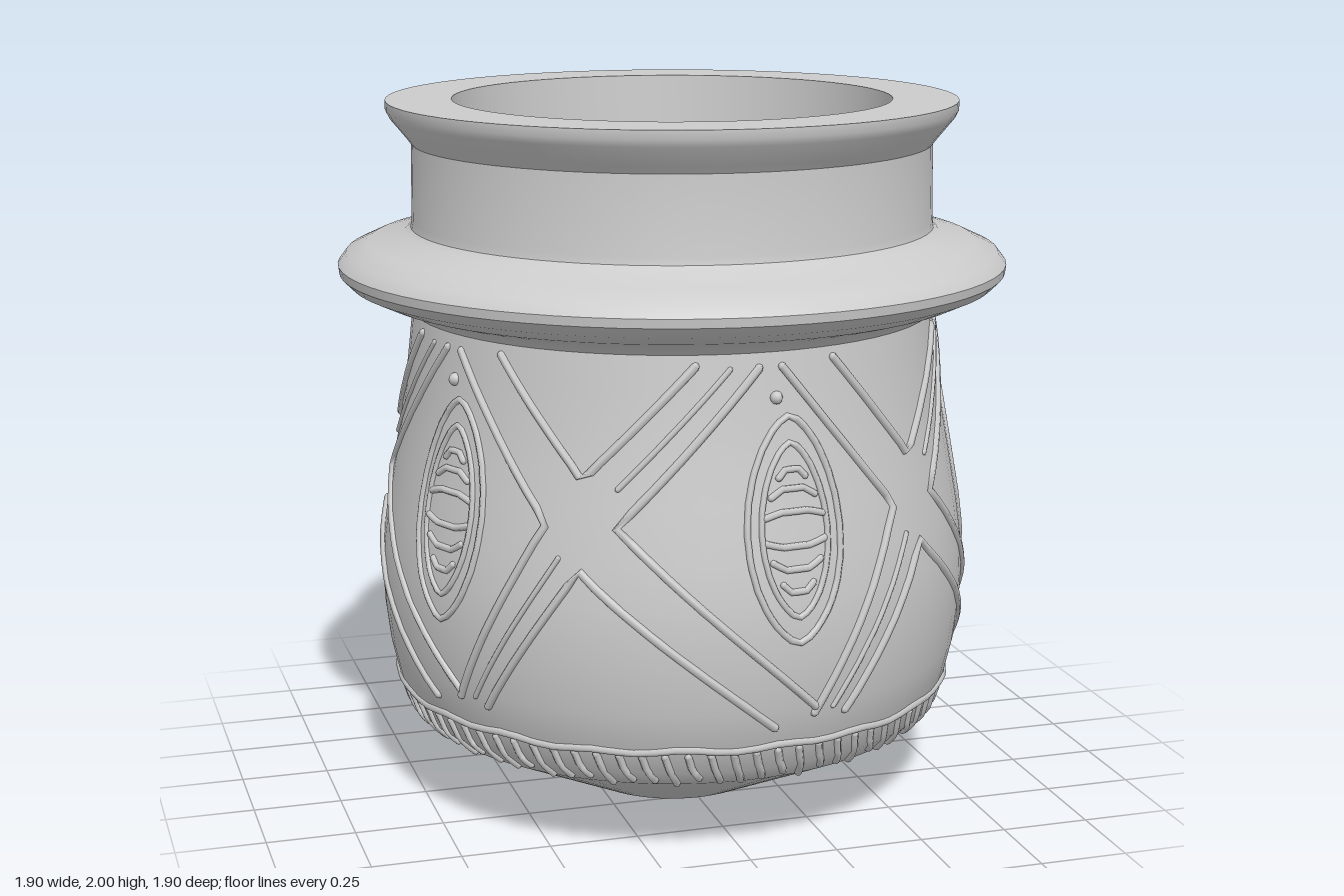
import * as THREE from 'three';
import { mergeGeometries, toCreasedNormals } from 'three/addons/utils/BufferGeometryUtils.js';

// Outer outline [radius, height], from the foot up to the rim
const outer = [
  [0, 0], [0.27, 0], [0.73, 0.225], [0.775, 0.27], [0.79, 0.32], [0.805, 0.35], [0.828, 0.45], [0.84, 0.55],
  [0.845, 0.65], [0.84, 0.75], [0.825, 0.86], [0.8, 1.0], [0.782, 1.1], [0.766, 1.2], [0.752, 1.32],
  [0.742, 1.41], [0.765, 1.435], [0.85, 1.46], [0.915, 1.49], [0.945, 1.52], [0.948, 1.545], [0.925, 1.575],
  [0.86, 1.605], [0.76, 1.63], [0.742, 1.645], [0.738, 1.665], [0.735, 1.88], [0.75, 1.9], [0.795, 1.955],
  [0.805, 1.975], [0.805, 2.0],
];
// Inner outline, from the rim down to the floor
const inner = [
  [0.62, 2.0], [0.595, 1.5], [0.66, 1.4], [0.7, 1.1], [0.74, 0.75], [0.72, 0.34], [0.28, 0.09], [0, 0.09],
];

// Outer radius of the body at height y
function radiusAt(y) {
  for (let i = 2; i < outer.length; i++) {
    const [r0, y0] = outer[i - 1], [r1, y1] = outer[i];
    if (y <= y1) return r0 + (r1 - r0) * (y - y0) / (y1 - y0);
  }
  return 0.8;
}

// Point on the body from an angle in degrees (0 = front, 90 = left) and a height
function onBody(deg, y, lift = 0) {
  const a = THREE.MathUtils.degToRad(deg), r = radiusAt(y) + lift;
  return new THREE.Vector3(r * Math.sin(a), y, r * Math.cos(a));
}

// Round ridge following [angle, height] points over the body surface
function ridge(points, radius, { steps = 10, closed = false } = {}) {
  const path = [];
  for (let i = 0; i < points.length - (closed ? 0 : 1); i++) {
    const [a0, y0] = points[i], [a1, y1] = points[(i + 1) % points.length];
    for (let s = 0; s < steps; s++) {
      const t = s / steps;
      path.push(onBody(a0 + (a1 - a0) * t, y0 + (y1 - y0) * t));
    }
  }
  if (!closed) path.push(onBody(...points[points.length - 1]));
  const curve = new THREE.CatmullRomCurve3(path, closed);
  const parts = [new THREE.TubeGeometry(curve, path.length, radius, 6, closed)];
  if (!closed) {
    for (const p of [path[0], path[path.length - 1]]) {
      parts.push(new THREE.SphereGeometry(radius, 6, 4).translate(p.x, p.y, p.z));
    }
  }
  return mergeGeometries(parts);
}

// Pointed oval outline around a centre
function almond(deg, y, halfWidth, halfHeight) {
  const pts = [];
  for (let i = 0; i < 24; i++) {
    const t = (i / 24) * Math.PI * 2, c = Math.cos(t);
    pts.push([deg + Math.sign(c) * Math.pow(Math.abs(c), 1.3) * halfWidth, y + Math.sin(t) * halfHeight]);
  }
  return pts;
}

export function createModel() {
  const group = new THREE.Group();
  const material = new THREE.MeshStandardMaterial({ color: 0xcccccc });
  const add = (name, geometry) => {
    const mesh = new THREE.Mesh(geometry, material);
    mesh.name = name;
    group.add(mesh);
  };

  // Turned pot wall with collar, rim and hollow inside
  const profile = [...outer, ...inner].map(([r, y]) => new THREE.Vector2(r, y));
  add('potBody', toCreasedNormals(new THREE.LatheGeometry(profile, 72), 0.55));

  // Five repeats of crossed bands and eye-shaped ornaments
  const bands = [], eyes = [];
  for (let k = 0; k < 5; k++) {
    const c = -34 + 72 * k;
    const chevrons = [
      [[-20, 1.38], [0, 1.08], [22, 1.38]],
      [[-20, 0.42], [0, 0.84], [37, 0.4]],
      [[35, 1.37], [7, 0.96], [45, 0.45]],
      [[-32, 1.37], [-7, 0.96], [-27, 0.43]],
    ];
    for (const line of chevrons) bands.push(ridge(line.map(([a, y]) => [c + a, y]), 0.012));
    // Fine middle line along the rising arms
    bands.push(ridge([[c + 7, 1.06], [c + 29, 1.37]], 0.008));
    bands.push(ridge([[c - 23, 0.44], [c - 4, 0.87]], 0.008));

    const e = 7 + 72 * k;
    eyes.push(ridge(almond(e, 0.94, 9.6, 0.3), 0.01, { steps: 2, closed: true }));
    eyes.push(ridge(almond(e, 0.94, 6.8, 0.23), 0.009, { steps: 2, closed: true }));
    // Curved bars across the eye
    for (const [y, w, bend] of [[1.1, 2.8, 0.02], [1.05, 4.6, 0.02], [0.99, 6, 0.012],
      [0.9, 6, -0.012], [0.84, 4.8, -0.02], [0.78, 3, -0.02]]) {
      eyes.push(ridge([[e - w, y - bend], [e - w / 2, y], [e + w / 2, y], [e + w, y - bend]], 0.01, { steps: 2 }));
    }
    const dot = onBody(e - 2.5, 1.29);
    eyes.push(new THREE.SphereGeometry(0.018, 8, 6).translate(dot.x, dot.y, dot.z));
  }
  add('crossedBands', mergeGeometries(bands));
  add('eyeOrnaments', mergeGeometries(eyes));

  // Slightly wavy cord above the foot
  const cord = [];
  for (let i = 0; i < 90; i++) cord.push([i * 4, 0.342 + 0.005 * Math.sin(i * 1.4) + 0.003 * Math.sin(i * 0.6)]);
  add('lowerCord', ridge(cord, 0.011, { steps: 1, closed: true }));

  // Short slanted fringe below the cord
  const fringe = [];
  for (let i = 0; i < 80; i++) {
    const a = i * 4.5, end = 0.24 + 0.012 * Math.sin(i * 2.3);
    fringe.push(ridge([[a, 0.325], [a + 0.8, 0.285], [a + 2.4, end]], 0.011, { steps: 2 }));
  }
  add('lowerFringe', mergeGeometries(fringe));

  return group;
}
